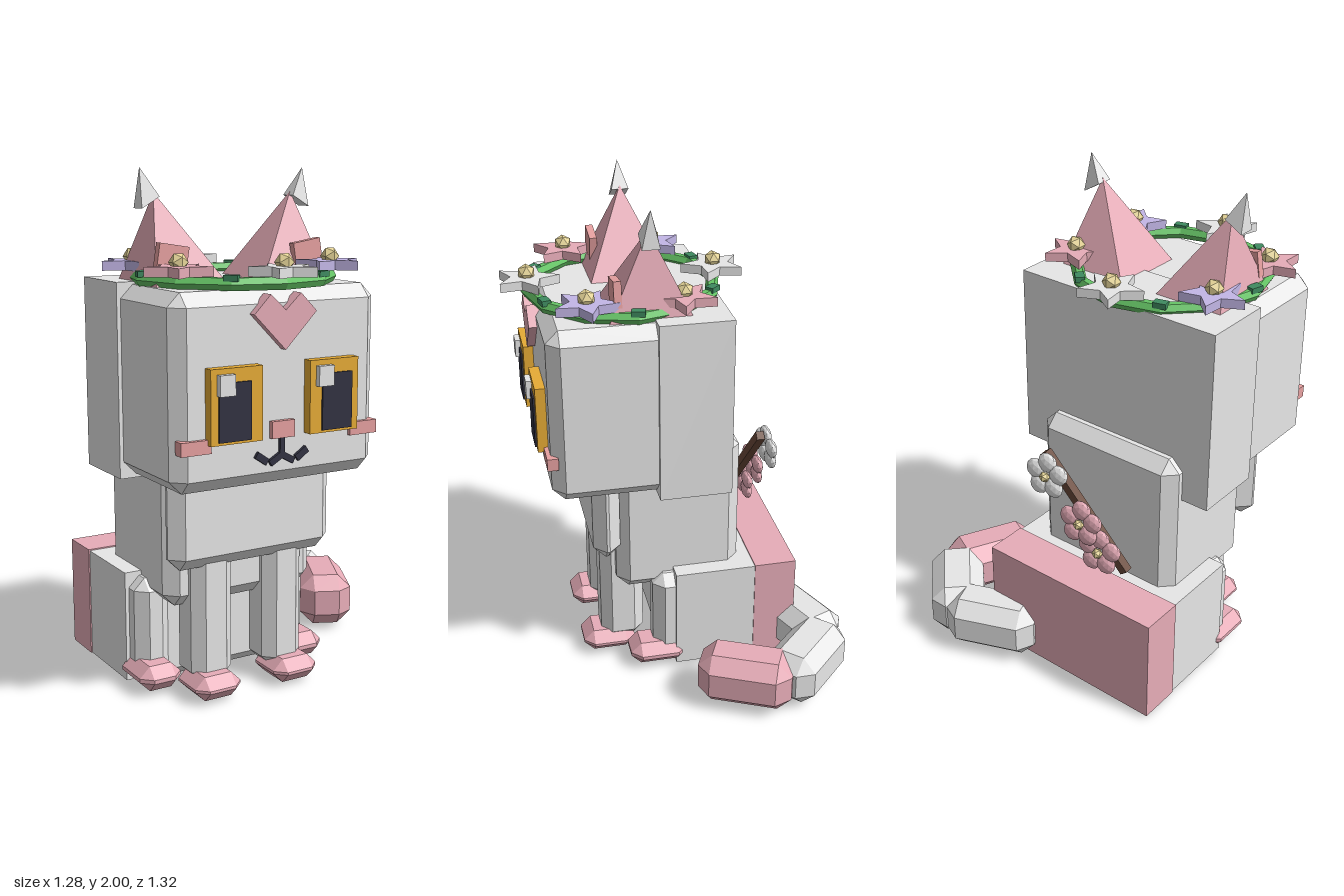
import * as THREE from 'three';
import { ConvexGeometry } from 'three/addons/geometries/ConvexGeometry.js';

const CX = -0.195; // body mirror plane

export function createModel() {
  const model = new THREE.Group();
  model.name = 'sittingCat';

  const mat = (name, color) => {
    const m = new THREE.MeshStandardMaterial({ color, flatShading: true });
    m.name = name;
    return m;
  };
  const white = mat('white fur', 0xf6f6f6);
  const pink = mat('pink', 0xf8bac6);
  const salmon = mat('salmon', 0xf5abab);
  const gold = mat('gold', 0xf5b63a);
  const dark = mat('dark', 0x323242);
  const green = mat('green', 0x66c566);
  const leafGreen = mat('leaf green', 0x3f8a60);
  const lavender = mat('lavender', 0xcfc2f5);
  const brown = mat('brown', 0x6b4a3a);
  const cream = mat('cream', 0xe8d79a);

  const add = (name, geo, material, x = 0, y = 0, z = 0, parent = model) => {
    const m = new THREE.Mesh(geo, material);
    m.name = name;
    m.position.set(x, y, z);
    parent.add(m);
    return m;
  };

  // Box with all edges and corners cut off
  const chamferGeo = (w, h, d, c) => {
    const pts = [];
    const a = w / 2, b = h / 2, e = d / 2;
    for (const sx of [-1, 1]) for (const sy of [-1, 1]) for (const sz of [-1, 1]) {
      pts.push(new THREE.Vector3(sx * a, sy * (b - c), sz * (e - c)));
      pts.push(new THREE.Vector3(sx * (a - c), sy * b, sz * (e - c)));
      pts.push(new THREE.Vector3(sx * (a - c), sy * (b - c), sz * e));
    }
    return new ConvexGeometry(pts);
  };
  // Box given by its limits, chamfered when c > 0
  const block = (name, material, x0, x1, y0, y1, z0, z1, c = 0) => {
    const s = [x1 - x0, y1 - y0, z1 - z0];
    const geo = c ? chamferGeo(...s, c) : new THREE.BoxGeometry(...s);
    return add(name, geo, material, (x0 + x1) / 2, (y0 + y1) / 2, (z0 + z1) / 2);
  };
  // The same block on both sides, x measured outwards from the mirror plane
  const pair = (name, material, x0, x1, ...rest) => {
    block(name + 'Right', material, CX - x1, CX - x0, ...rest);
    block(name + 'Left', material, CX + x0, CX + x1, ...rest);
  };

  // Head
  block('face', white, -0.625, 0.235, 0.87, 1.58, 0.05, 0.53, 0.05);
  block('backOfHead', white, -0.64, 0.25, 0.855, 1.59, -0.175, 0.115);

  // Torso, hips and rump
  block('torso', white, -0.525, 0.13, 0.36, 1.03, -0.245, 0.27, 0.05);
  block('chest', white, -0.55, 0.155, 0.53, 0.95, 0.255, 0.367, 0.05);
  block('belly', white, -0.53, 0.14, 0.003, 0.4, -0.42, 0.085, 0.04);
  block('hips', white, -0.595, 0.203, 0.016, 0.458, -0.3, 0.04);
  block('rump', pink, -0.6, 0.207, 0.015, 0.463, -0.47, -0.295);

  // Legs and feet
  pair('haunch', white, 0.24, 0.385, 0.02, 0.44, -0.1, 0.13, 0.045);
  pair('frontLeg', white, 0.07, 0.245, 0.06, 0.6, 0.148, 0.33, 0.043);
  pair('frontFoot', pink, 0.075, 0.272, 0.015, 0.11, 0.19, 0.41, 0.042);
  pair('backFoot', pink, 0.24, 0.415, 0.02, 0.12, -0.01, 0.23, 0.042);

  // Curled tail: three chamfered links
  [
    [0.175, -0.507, 22, white],
    [0.437, -0.458, -45, white],
    [0.483, -0.192, -115.5, pink],
  ].forEach(([x, z, deg, m], i) => {
    const link = add('tailLink' + (i + 1), chamferGeo(0.385, 0.222, 0.222, 0.057), m, x, 0.131, z);
    link.rotation.y = THREE.MathUtils.degToRad(deg);
  });

  // Eyes
  pair('eye', gold, 0.1, 0.31, 1.05, 1.32, 0.5, 0.57);
  block('pupilRight', dark, -0.475, -0.345, 1.06, 1.27, 0.56, 0.577);
  block('pupilLeft', dark, -0.045, 0.085, 1.06, 1.27, 0.56, 0.577);
  block('glintRight', white, -0.48, -0.417, 1.225, 1.3, 0.565, 0.592);
  block('glintLeft', white, -0.07, -0.005, 1.225, 1.3, 0.565, 0.592);

  // Nose, cheeks and mouth
  block('nose', salmon, -0.243, -0.147, 1.045, 1.108, 0.5, 0.55);
  pair('cheek', salmon, 0.295, 0.415, 1.02, 1.07, 0.503, 0.547);
  block('mouthLine', dark, -0.205, -0.185, 0.98, 1.05, 0.52, 0.543);
  for (const s of [-1, 1]) {
    const inner = add('mouthInner', new THREE.BoxGeometry(0.058, 0.024, 0.023), dark, CX + s * 0.025, 0.968, 0.5315);
    inner.rotation.z = -s * 0.52;
    const outer = add('mouthOuter', new THREE.BoxGeometry(0.055, 0.026, 0.023), dark, CX + s * 0.085, 0.976, 0.5315);
    outer.rotation.z = s * 0.6;
  }

  // Forehead heart
  const heart = new THREE.Shape([[0, 1.365], [0.13, 1.497], [0.063, 1.565], [0, 1.507], [-0.063, 1.565], [-0.13, 1.497]]
    .map(([x, y]) => new THREE.Vector2(x, y)));
  add('foreheadHeart', new THREE.ExtrudeGeometry(heart, { depth: 0.05, bevelEnabled: false }), pink, CX, 0, 0.512);

  // Ears: leaning pyramids with pale tips and a front patch
  const V = (x, y, z) => new THREE.Vector3(x, y, z);
  for (const s of [-1, 1]) {
    const X = (o) => CX + s * o;
    const base = [];
    for (const z of [-0.05, 0.3]) base.push(V(X(0.055), 1.55, z), V(X(0.375), 1.55, z));
    add('ear', new ConvexGeometry([...base, V(X(0.295), 1.91, 0.125)]), pink);
    const tip = [V(X(0.35), 2, 0.125)];
    for (const z of [0.09, 0.16]) tip.push(V(X(0.287), 1.895, z), V(X(0.358), 1.853, z));
    add('earTip', new ConvexGeometry(tip), white);
    const patch = add('earPatch', new THREE.BoxGeometry(0.12, 0.1, 0.03), salmon, X(0.29), 1.678, 0.25);
    patch.rotation.z = s * 0.16;
  }

  // Flower wreath
  const wreath = new THREE.Group();
  wreath.name = 'wreath';
  wreath.position.set(CX, 0, 0.178);
  model.add(wreath);
  const ring = add('wreathRing', new THREE.TorusGeometry(0.37, 0.026, 6, 12), green, 0, 1.6, 0, wreath);
  ring.rotation.x = Math.PI / 2;
  const star = new THREE.Shape();
  for (let i = 0; i < 10; i++) {
    const r = i % 2 ? 0.062 : 0.128, a = (i * Math.PI) / 5;
    star[i ? 'lineTo' : 'moveTo'](r * Math.cos(a), r * Math.sin(a));
  }
  const starGeo = new THREE.ExtrudeGeometry(star, { depth: 0.036, bevelEnabled: false });
  starGeo.rotateX(-Math.PI / 2);
  const budGeo = new THREE.IcosahedronGeometry(0.036, 0);
  const leafGeo = new THREE.BoxGeometry(0.052, 0.022, 0.036);
  const petalsOf = [white, lavender, pink];
  for (let i = 0; i < 6; i++) {
    const a = Math.PI / 2 - (i * Math.PI) / 3; // starts at the front, goes to the left
    const x = 0.37 * Math.cos(a), z = 0.37 * Math.sin(a);
    add('starFlower', starGeo, petalsOf[i % 3], x, 1.624, z, wreath).rotation.y = 0.25 + i * 1.05;
    add('starFlowerBud', budGeo, cream, x, 1.673, z, wreath);
    const b = a + Math.PI / 6;
    const leaf = add('wreathLeaf', leafGeo, leafGreen, 0.375 * Math.cos(b), 1.622, 0.375 * Math.sin(b), wreath);
    leaf.rotation.y = -b + 1.3;
  }

  // Blossom twig on the back
  const from = V(-0.365, 0.52, -0.307), to = V(-0.005, 0.96, -0.36);
  const twig = add('twig', new THREE.BoxGeometry(0.038, from.distanceTo(to), 0.034), brown);
  twig.position.copy(from).lerp(to, 0.5);
  twig.quaternion.setFromUnitVectors(V(0, 1, 0), to.clone().sub(from).normalize());
  const petalGeo = new THREE.IcosahedronGeometry(0.042, 1).scale(1, 1, 0.5);
  const heartGeo = new THREE.IcosahedronGeometry(0.022, 0);
  [
    [-0.045, 0.885, -0.4, white],
    [-0.205, 0.725, -0.39, pink],
    [-0.28, 0.61, -0.368, pink],
  ].forEach(([x, y, z, m]) => {
    const blossom = new THREE.Group();
    blossom.name = 'blossom';
    blossom.position.set(x, y, z);
    blossom.rotation.set(0.1, 0.12, 0);
    model.add(blossom);
    for (let i = 0; i < 5; i++) {
      const a = (i * Math.PI * 2) / 5 + 0.3;
      add('petal', petalGeo, m, 0.055 * Math.cos(a), 0.055 * Math.sin(a), 0, blossom);
    }
    add('blossomCentre', heartGeo, cream, 0, 0, -0.017, blossom);
  });

  return model;
}
